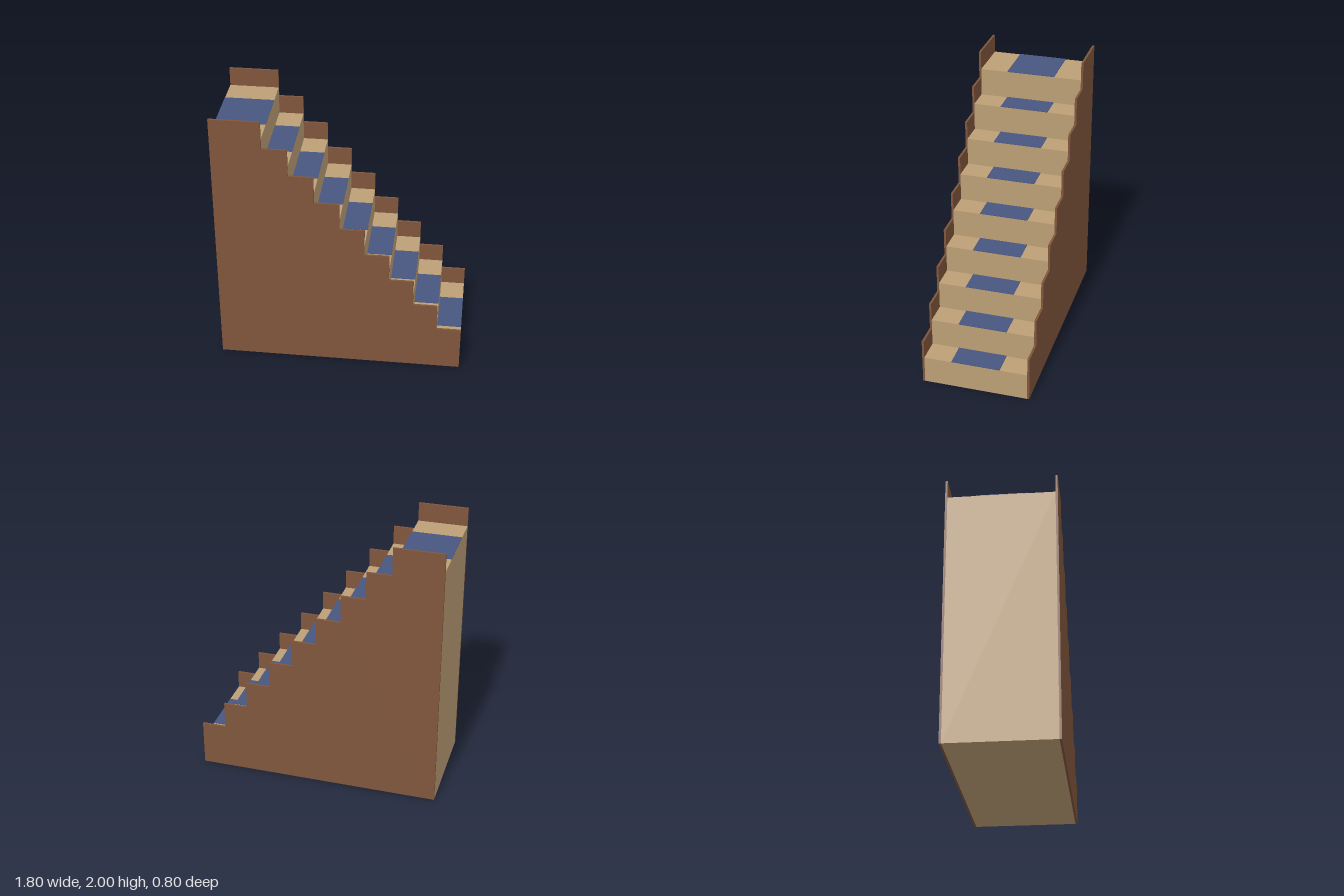
import * as THREE from 'three';

const STEPS = 9, RUN = 0.18, RISE = 0.207, HALF = 0.9;
const INNER = 0.384, WALL = 0.016, LIP = 0.137;

const material = (color) => new THREE.MeshStandardMaterial({ color });

// Stepped outline with every tread raised by `lift`; the top step is a double-depth landing
function stairGeometry(lift, depth) {
  const shape = new THREE.Shape();
  shape.moveTo(-HALF, 0);
  shape.lineTo(HALF, 0);
  for (let i = 0; i < STEPS; i++) {
    const y = (i + 1) * RISE + lift;
    shape.lineTo(HALF - i * RUN, y);
    shape.lineTo(i === STEPS - 1 ? -HALF : HALF - (i + 1) * RUN, y);
  }
  shape.closePath();
  return new THREE.ExtrudeGeometry(shape, { depth, bevelEnabled: false });
}

export function createModel() {
  const model = new THREE.Group();
  model.name = 'staircase';
  const wood = material(0xbc9f76), sideWood = material(0x80563c), cloth = material(0x48567f);

  const add = (name, geometry, mat, x, y, z) => {
    const mesh = new THREE.Mesh(geometry, mat);
    mesh.name = name;
    mesh.position.set(x, y, z);
    model.add(mesh);
  };

  // Solid block of steps
  add('steps', stairGeometry(0, INNER * 2), wood, 0, 0, -INNER);

  // Stepped side panels standing above the treads
  add('frontSidePanel', stairGeometry(LIP, WALL), sideWood, 0, 0, INNER);
  add('backSidePanel', stairGeometry(LIP, WALL), sideWood, 0, 0, -INNER - WALL);

  // Thin carpet strip on each tread
  const thick = 0.004;
  for (let i = 0; i < STEPS; i++) {
    const width = i === STEPS - 1 ? RUN * 2 : RUN;
    add(`carpet${i + 1}`, new THREE.BoxGeometry(width, thick, 0.36), cloth,
      HALF - i * RUN - width / 2, (i + 1) * RISE + thick / 2, 0);
  }
  return model;
}
